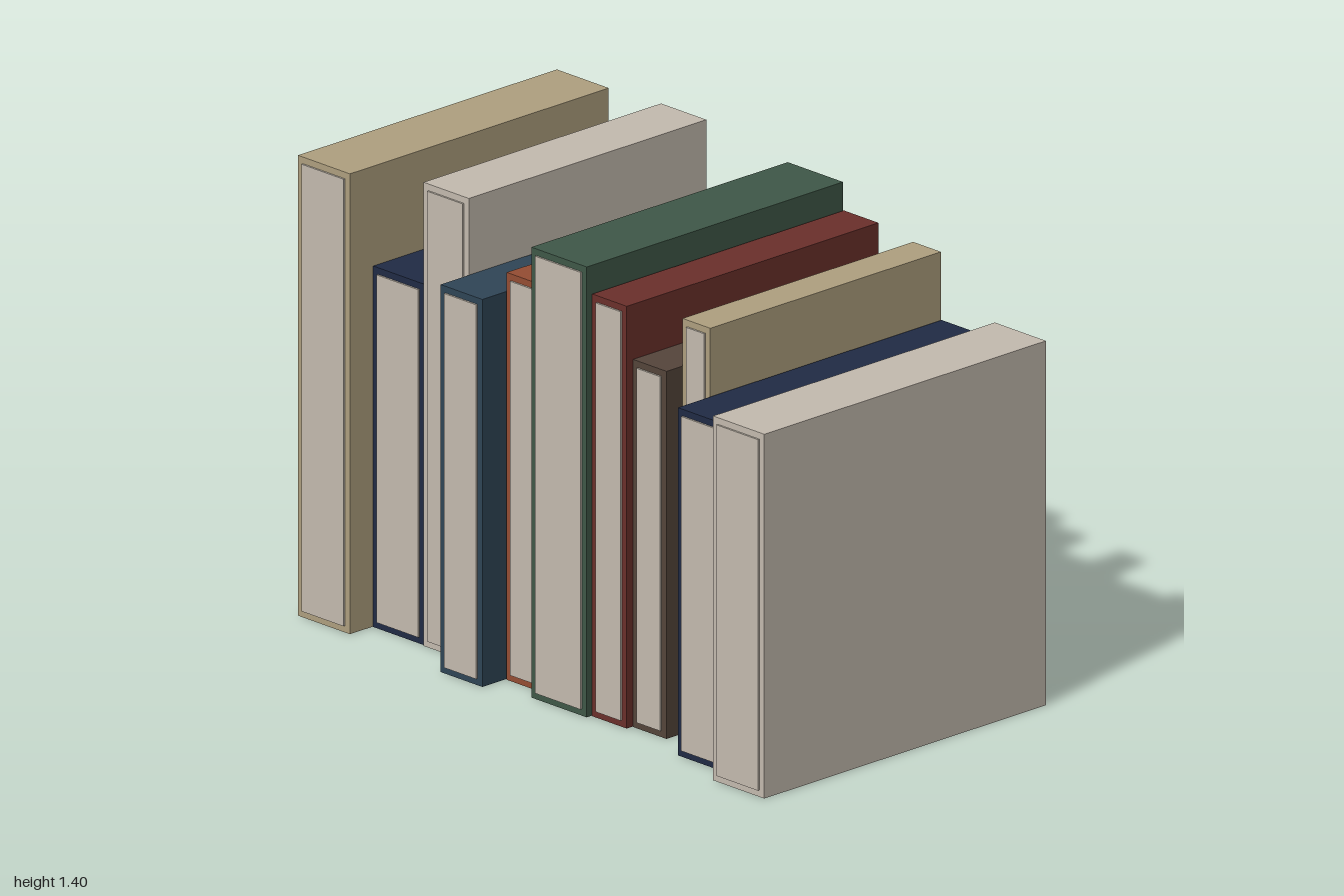
import * as THREE from 'three';

const mat = (name, color) => {
  const m = new THREE.MeshStandardMaterial({ color });
  m.name = name;
  return m;
};

export function createModel() {
  const group = new THREE.Group();
  group.name = 'bookRow';

  const cream = mat('cream', 0xc4bbaf);
  const tan = mat('tan', 0xafa07f);
  const navy = mat('navy', 0x202b45);
  const slate = mat('slateBlue', 0x2f4556);
  const rust = mat('rust', 0x954d33);
  const green = mat('green', 0x3f5848);
  const maroon = mat('maroon', 0x6b302b);
  const brown = mat('brown', 0x55453b);

  const back = -0.557; // all spines line up here
  const inset = 0.02; // cover border around the pages
  const pageDepth = 0.006;

  // left edge, right edge, height, front of cover, cover colour
  const books = [
    [-1.0, -0.788, 1.39, 0.461, tan],
    [-0.785, -0.575, 1.09, 0.372, navy],
    [-0.574, -0.389, 1.4, 0.377, cream],
    [-0.386, -0.215, 1.17, 0.491, slate],
    [-0.21, -0.06, 1.23, 0.4, rust],
    [-0.056, 0.17, 1.36, 0.451, green],
    [0.174, 0.315, 1.275, 0.433, maroon],
    [0.318, 0.455, 1.11, 0.411, brown],
    [0.457, 0.57, 1.255, 0.35, tan],
    [0.574, 0.787, 1.05, 0.481, navy],
    [0.791, 1.0, 1.1, 0.551, cream],
  ];

  books.forEach(([x0, x1, h, front, cover], i) => {
    const book = new THREE.Group();
    book.name = `book${i + 1}`;
    book.position.set((x0 + x1) / 2, h / 2, 0);

    const w = x1 - x0;
    const depth = front - back;
    const body = new THREE.Mesh(new THREE.BoxGeometry(w, h, depth), cover);
    body.name = 'cover';
    body.position.z = (front + back) / 2;

    // thin plate of page edges on the open side
    const pages = new THREE.Mesh(
      new THREE.BoxGeometry(w - 2 * inset, h - 2 * inset, pageDepth), cream);
    pages.name = 'pages';
    pages.position.z = front + pageDepth / 2;

    book.add(body, pages);
    group.add(book);
  });

  return group;
}
